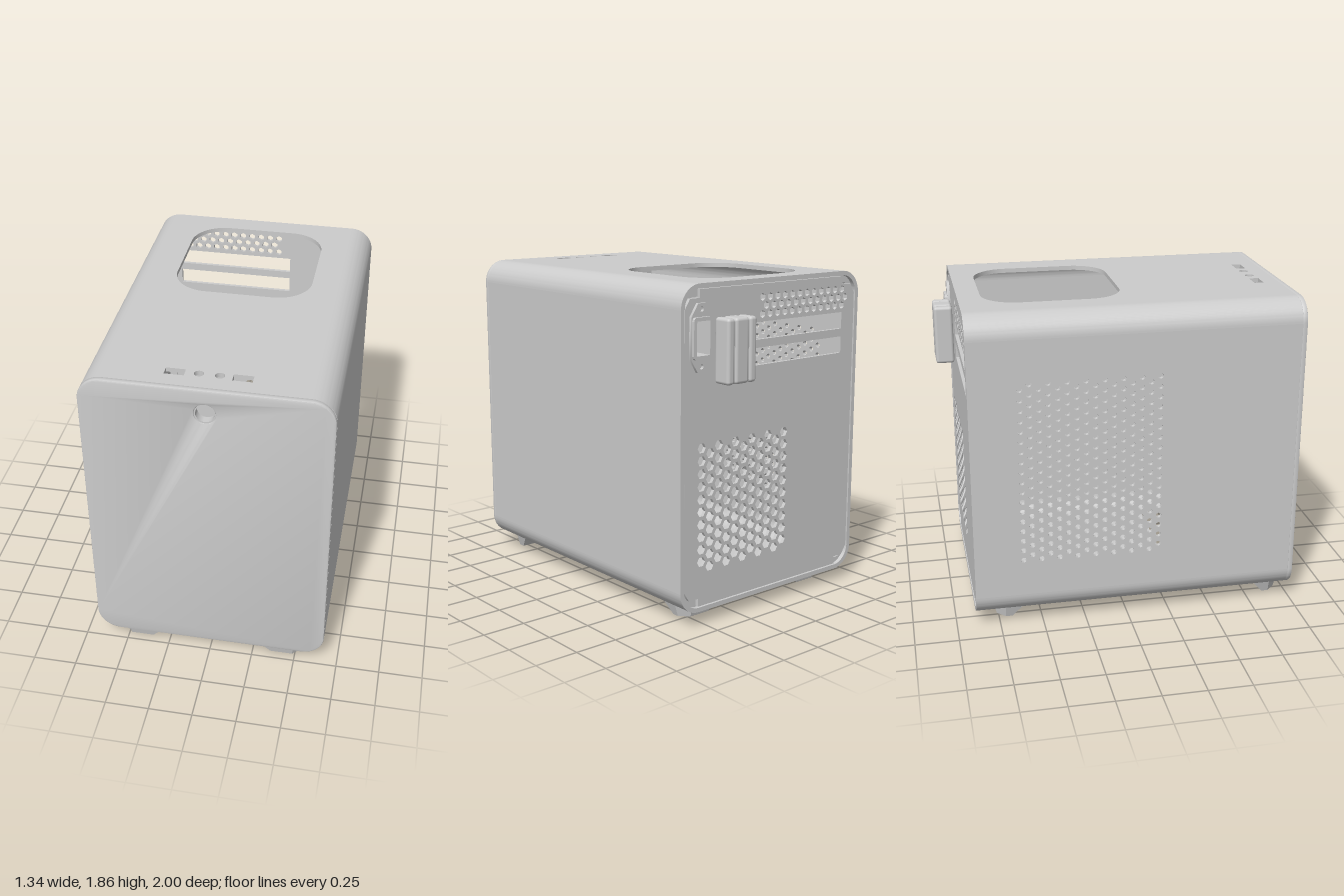
import * as THREE from 'three';
import { toCreasedNormals } from 'three/addons/utils/BufferGeometryUtils.js';
import { RoundedBoxGeometry } from 'three/addons/geometries/RoundedBoxGeometry.js';

const W = 0.67, Y0 = 0.08, Y1 = 1.86, R = 0.13, T = 0.025; // case half width, bottom, top, corner, wall
const ZB = -0.89, ZF = 0.97;                               // back and front ends of the shell

export function createModel() {
  const model = new THREE.Group();
  model.name = 'computerCase';
  const mat = new THREE.MeshStandardMaterial({ color: 0xcccccc });

  const add = (name, geo, x = 0, y = 0, z = 0, parent = model) => {
    const m = new THREE.Mesh(geo, mat);
    m.name = name;
    m.position.set(x, y, z);
    parent.add(m);
    return m;
  };
  // Shape helpers
  const poly = (pts) => new THREE.Shape(pts.map(([x, y]) => new THREE.Vector2(x, y)));
  const rect = (x0, y0, x1, y1) => poly([[x0, y0], [x1, y0], [x1, y1], [x0, y1]]);
  const ngon = (x, y, r, n, turn = 0) => poly(Array.from({ length: n }, (_, i) => {
    const a = turn + (i / n) * Math.PI * 2;
    return [x + r * Math.cos(a), y + r * Math.sin(a)];
  }));
  const rounded = (x0, y0, x1, y1, r) => {
    const s = new THREE.Shape();
    s.absarc(x1 - r, y1 - r, r, 0, Math.PI / 2);
    s.absarc(x0 + r, y1 - r, r, Math.PI / 2, Math.PI);
    s.absarc(x0 + r, y0 + r, r, Math.PI, Math.PI * 1.5);
    s.absarc(x1 - r, y0 + r, r, Math.PI * 1.5, Math.PI * 2);
    s.closePath();
    return s;
  };
  const plate = (shape, holes, depth, bevel = 0) => {
    shape.holes.push(...holes);
    return toCreasedNormals(new THREE.ExtrudeGeometry(shape, {
      depth: depth - 2 * bevel, curveSegments: 12, bevelEnabled: bevel > 0,
      bevelSize: bevel, bevelThickness: bevel, bevelOffset: -bevel, bevelSegments: 2,
    }).translate(0, 0, bevel), 0.6);
  };

  // Top wall with handle opening, ports and buttons (shape y is -z)
  const fx = W - R;
  const topHoles = [
    rounded(-0.4, -0.03, 0.39, 0.76, 0.2),
    rect(-0.235, -0.88, -0.13, -0.825), rect(0.12, -0.88, 0.225, -0.825),
    ngon(-0.057, -0.85, 0.026, 20), ngon(0.052, -0.85, 0.026, 20),
  ];
  add('topWall', plate(rect(-fx, -ZF, fx, -ZB), topHoles, T).rotateX(-Math.PI / 2), 0, Y1 - T);

  // Bottom wall with chamfered air intake
  const intake = poly([[-0.53, -0.33], [-0.53, -0.62], [-0.33, -0.91], [0.33, -0.91], [0.53, -0.62], [0.53, -0.33]]);
  add('bottomWall', plate(rect(-fx, -ZF, fx, -ZB), [intake], T).rotateX(-Math.PI / 2), 0, Y0);

  // Plain side and perforated side
  const sideH = Y1 - Y0 - 2 * R;
  add('leftWall', new THREE.BoxGeometry(T, sideH, ZF - ZB), W - T / 2, (Y0 + Y1) / 2, (ZF + ZB) / 2);
  const perforations = [];
  for (let c = 0; c < 16; c++) {
    for (let r = 0; r < 18; r++) {
      perforations.push(ngon(-0.61 + c * 0.052, 0.43 + r * 0.06 + (c % 2) * 0.03, 0.016, 8));
    }
  }
  add('rightWall', plate(rect(ZB, Y0 + R, ZF, Y1 - R), perforations, T).rotateY(-Math.PI / 2), -W + T);

  // Rounded long edges
  [[1, 1, 0], [-1, 1, 1], [-1, -1, 2], [1, -1, 3]].forEach(([sx, sy, q]) => {
    const a = q * Math.PI / 2, s = new THREE.Shape();
    s.absarc(0, 0, R, a, a + Math.PI / 2, false);
    s.absarc(0, 0, R - T, a + Math.PI / 2, a, true);
    s.closePath();
    add('roundedEdge', plate(s, [], ZF - ZB), sx * fx, sy > 0 ? Y1 - R : Y0 + R, ZB);
  });

  // Front panel with power button ring
  add('frontPanel', plate(rounded(-W, Y0, W, Y1, R), [ngon(0, 1.716, 0.058, 32)], 1 - ZF, 0.007), 0, 0, ZF);
  const ring = [[0.05, 0], [0.058, 0], [0.058, 0.045], [0.05, 0.045], [0.05, 0]].map((p) => new THREE.Vector2(...p));
  add('buttonRing', toCreasedNormals(new THREE.LatheGeometry(ring, 32).rotateX(Math.PI / 2), 0.6), 0, 1.716, 0.95);

  // Back panel with stepped corners, vents, card slots and a door
  const vents = [];
  for (let c = 0; c < 12; c++) {
    for (let r = 0; r < 3; r++) {
      vents.push(ngon(0.09 - c * 0.057 - (r % 2) * 0.028, 1.757 - r * 0.046, 0.021, 6, Math.PI / 6));
    }
  }
  for (let c = 0; c < 11; c++) {
    for (let r = 0; r < 10; r++) {
      vents.push(ngon(0.52 - c * 0.061, 0.36 + r * 0.07 - (c % 2) * 0.035, 0.029, 6));
    }
  }
  const slots = [rect(-0.54, 1.53, 0.165, 1.625), rect(-0.54, 1.39, 0.165, 1.485)];
  const inletHole = () => rect(0.495, 1.49, 0.585, 1.67);
  const door = [-0.575, 0.15, -0.3, 1.22];
  const px = 0.64, nx = 0.54, p0 = 0.11, p1 = 1.83, n = 0.045;
  const outline = poly([
    [-nx, p0], [nx, p0], [nx, p0 + n], [px - 0.035, p0 + n], [px, p0 + 0.1],
    [px, p1 - 0.1], [px - 0.035, p1 - n], [nx, p1 - n], [nx, p1], [-nx, p1],
    [-nx, p1 - n], [-px + 0.035, p1 - n], [-px, p1 - 0.1],
    [-px, p0 + 0.1], [-px + 0.035, p0 + n], [-nx, p0 + n],
  ]);
  add('backPanel', plate(outline, [...vents, ...slots, inletHole(), rect(...door)], 0.02), 0, 0, ZB + 0.005);
  const g = 0.007;
  add('backDoor', plate(rect(door[0] + g, door[1] + g, door[2] - g, door[3] - g), [], 0.016), 0, 0, ZB + 0.008);
  add('backDoorBacking', plate(rect(...door), [], 0.006), 0, 0, ZB + 0.022);
  add('backFrame', plate(rounded(-W + T, Y0 + T, W - T, Y1 - T, R - T),
    [rounded(-0.6, 0.15, 0.6, 1.79, 0.03)], 0.02), 0, 0, ZB + 0.024);

  // Power inlet: pointed flange and raised open socket
  const ix = 0.54, iy = 1.58;
  const flange = poly([
    [ix - 0.025, iy - 0.18], [ix + 0.025, iy - 0.18], [ix + 0.07, iy - 0.11], [ix + 0.07, iy + 0.11],
    [ix + 0.025, iy + 0.18], [ix - 0.025, iy + 0.18], [ix - 0.07, iy + 0.11], [ix - 0.07, iy - 0.11],
  ]);
  const screws = [-0.15, 0.15].map((d) => ngon(ix, iy + d, 0.014, 12));
  add('inletFlange', plate(flange, [inletHole(), ...screws], 0.017), 0, 0, -0.902);
  add('inletSocket', plate(rounded(0.475, 1.47, 0.605, 1.69, 0.02), [inletHole()], 0.1), 0, 0, -0.918);

  // Power plug block, split by two grooves
  const plug = new THREE.Group();
  plug.name = 'powerPlug';
  plug.position.set(0.34, 1.505, -0.945);
  model.add(plug);
  [[-0.0775, 0.05], [0, 0.095], [0.0775, 0.05]].forEach(([x, w]) =>
    add('plugSection', new RoundedBoxGeometry(w, 0.35, 0.11, 3, 0.018), x, 0, 0, plug));
  add('plugCore', new RoundedBoxGeometry(0.19, 0.335, 0.097, 2, 0.015), 0, 0, 0.004, plug);

  // Feet: tapered blocks with a cut outer corner and a screw recess
  const footTop = [[0.28, 0.79], [0.56, 0.79], [0.56, 0.9], [0.49, 0.97], [0.28, 0.97]];
  const footBase = [[0.355, 0.86], [0.535, 0.86], [0.535, 0.9], [0.485, 0.95], [0.355, 0.95]];
  const footGeometry = () => {
    const pos = [], N = footTop.length;
    const top = footTop.map(([x, z]) => [x, Y0 + 0.005, z]);
    const base = footBase.map(([x, z]) => [x, 0, z]);
    const tri = (...v) => v.forEach((p) => pos.push(...p));
    for (let i = 0; i < N; i++) {
      const j = (i + 1) % N;
      tri(base[i], top[i], top[j]);
      tri(base[i], top[j], base[j]);
      if (i > 0 && i < N - 1) {
        tri(base[0], base[i], base[i + 1]);
        tri(top[0], top[i + 1], top[i]);
      }
    }
    const geo = new THREE.BufferGeometry();
    geo.setAttribute('position', new THREE.Float32BufferAttribute(pos, 3));
    geo.computeVertexNormals();
    return geo;
  };
  const foot = footGeometry();
  const screw = new THREE.TorusGeometry(0.022, 0.006, 6, 16).rotateX(Math.PI / 2);
  for (const sx of [-1, 1]) {
    for (const sz of [-1, 1]) {
      const grp = new THREE.Group();
      grp.name = sz > 0 ? 'frontFoot' : 'backFoot';
      grp.scale.set(sx, 1, sz);
      grp.position.z = sz > 0 ? 0 : 0.19;
      model.add(grp);
      add('footBlock', foot, 0, 0, 0, grp);
      add('footScrew', screw, 0.44, 0.006, 0.905, grp);
    }
  }
  return model;
}
